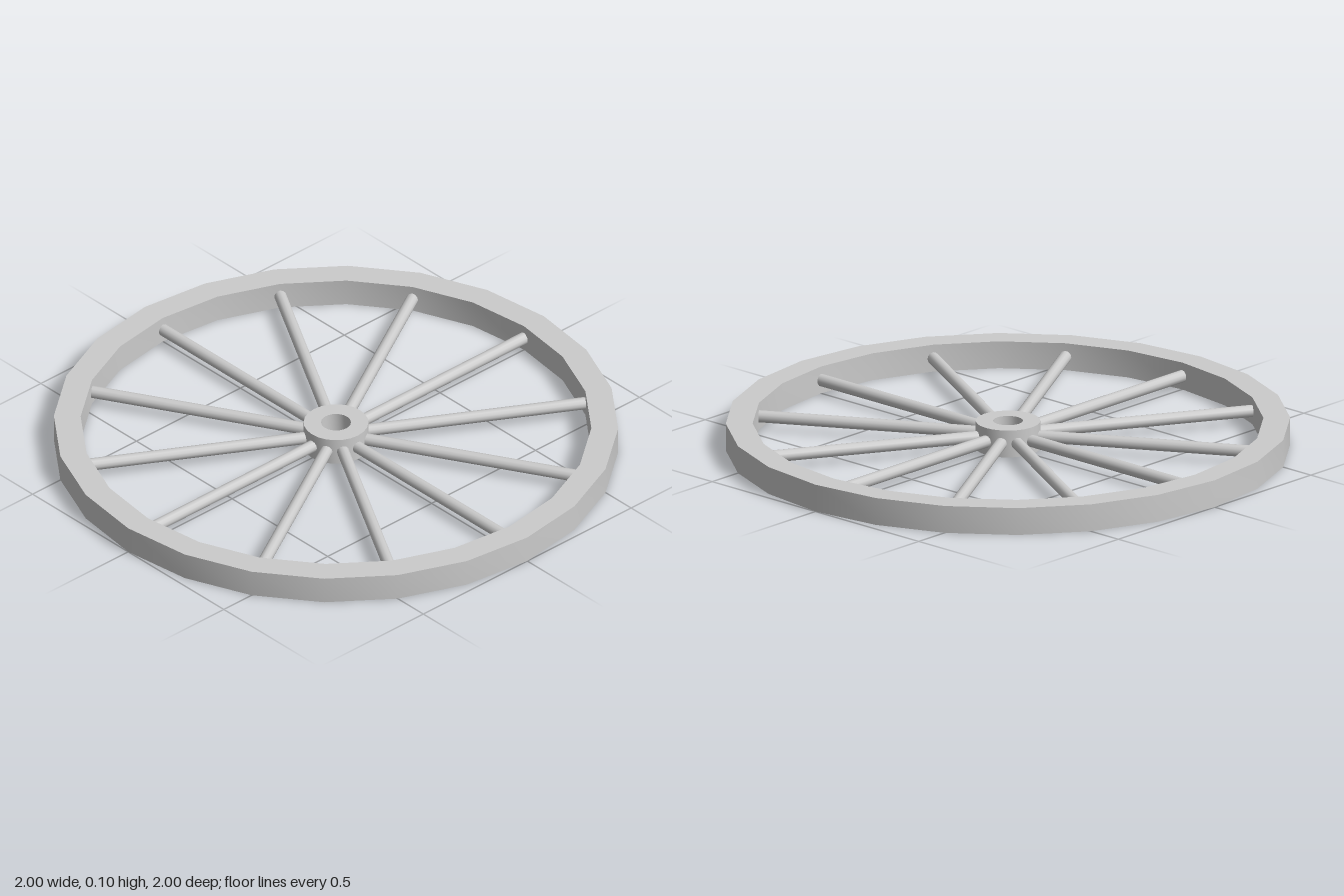
import * as THREE from 'three';
import { toCreasedNormals } from 'three/addons/utils/BufferGeometryUtils.js';

const HEIGHT = 0.1;
const SPOKES = 12;

// Rectangular-section ring lying flat, with sharp edges and smooth walls
function ring(name, inner, outer, material) {
  const profile = [[inner, 0], [outer, 0], [outer, HEIGHT], [inner, HEIGHT], [inner, 0]]
    .map(([r, y]) => new THREE.Vector2(r, y));
  const geometry = toCreasedNormals(new THREE.LatheGeometry(profile, 24), 0.6);
  const mesh = new THREE.Mesh(geometry, material);
  mesh.name = name;
  return mesh;
}

export function createModel() {
  const wheel = new THREE.Group();
  wheel.name = 'spokedWheel';
  const material = new THREE.MeshStandardMaterial({ color: 0xcccccc });

  // Outer rim and hub with its axle hole
  wheel.add(ring('rim', 0.905, 1, material));
  wheel.add(ring('hub', 0.053, 0.115, material));

  // Round spokes, each running from inside the hub into the rim
  const start = 0.09, end = 0.915;
  const spokeGeometry = new THREE.CylinderGeometry(0.022, 0.022, end - start, 12);
  spokeGeometry.rotateZ(-Math.PI / 2);
  spokeGeometry.translate((start + end) / 2, HEIGHT / 2, 0);
  const spokes = new THREE.Group();
  spokes.name = 'spokes';
  for (let i = 0; i < SPOKES; i++) {
    const spoke = new THREE.Mesh(spokeGeometry, material);
    spoke.name = 'spoke' + (i + 1);
    spoke.rotation.y = (i / SPOKES) * Math.PI * 2;
    spokes.add(spoke);
  }
  wheel.add(spokes);

  return wheel;
}
